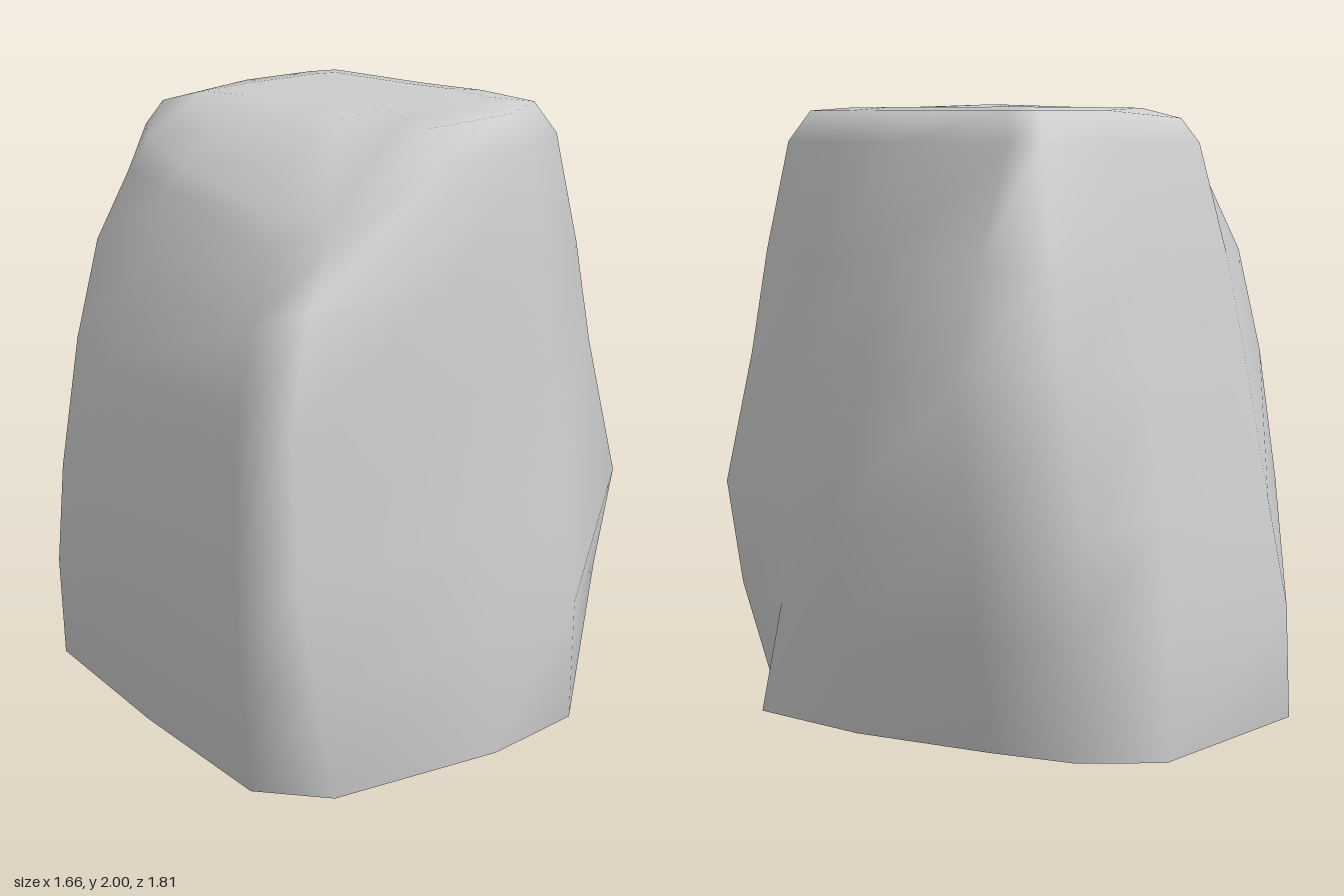
import * as THREE from 'three';

// Horizontal outlines as x, z pairs, running from the front round by +x to the back
const base = [-.03, .9, .33, .88, .61, .59, .82, .35, .73, -.05, .54, -.48, .41, -.73, .2, -.91, -.43, -.86, -.68, -.61, -.75, 0, -.78, .59, -.61, .79];
const low = [-.03, .85, .4, .82, .7, .63, .77, .3, .78, -.05, .62, -.51, .45, -.77, .17, -.88, -.43, -.84, -.71, -.58, -.81, -.15, -.82, .6, -.7, .81];
const belly = [-.03, .8, .4, .77, .73, .67, .77, .25, .83, -.06, .68, -.55, .46, -.8, .13, -.81, -.42, -.76, -.69, -.56, -.83, -.2, -.82, .58, -.73, .76];
const waist = [-.05, .75, .38, .71, .67, .59, .71, .22, .73, -.1, .75, -.56, .45, -.7, .1, -.71, -.4, -.67, -.63, -.53, -.77, -.2, -.77, .53, -.71, .71];
const rim = [-.1, .66, .32, .63, .57, .5, .6, .2, .55, -.06, .51, -.53, .4, -.56, .08, -.55, -.34, -.51, -.47, -.43, -.55, -.1, -.54, .4, -.48, .6];

// The top is flat, but falls away towards -x, most at the front and back corners
const { clamp, lerp } = THREE.MathUtils;
const roof = (x, z) => {
  const back = clamp((0.5 - z) / 0.7, 0, 1);
  const slope = lerp(0.6, 0.5, back) * Math.pow(clamp(-x / 0.7, 0, 1), lerp(1.6, 3.2, back));
  return 2 - slope - 0.75 * Math.max(0, -x - z - 0.75);
};

const scaled = (ring, s, cx, cz) => ring.map((v, i) => {
  const c = i % 2 ? cz : cx;
  return c + (v - c) * s;
});
const blended = (a, b, t) => a.map((v, i) => lerp(v, b[i], t));

function createRockGeometry() {
  const rings = [
    [scaled(base, 0.95, 0, 0), 0],
    [base, 0.01],
    [low, 0.38],
    [belly, 0.73],
    [waist, 1.18],
    [blended(waist, rim, 0.42), 1.52],
    [rim, 1.88],
    [scaled(rim, 0.9, 0.05, -0.05), 1.98],
    [scaled(rim, 0.7, 0.07, -0.03), 1.99],
    [scaled(rim, 0.45, 0.1, 0), 1.99],
  ];
  const n = base.length / 2;
  const positions = [];
  const index = [];

  for (const [ring, y] of rings) {
    for (let i = 0; i < n; i++) {
      const x = ring[2 * i];
      const z = ring[2 * i + 1];
      // Only the upper rings are cut by the roof
      positions.push(x, y > 1.2 ? Math.min(y, roof(x, z)) : y, z);
    }
  }
  // Middle points of underside and top
  const bottom = positions.length / 3;
  const top = bottom + 1;
  positions.push(0, 0, 0, 0.1, 2, 0);

  const last = (rings.length - 1) * n;
  for (let i = 0; i < n; i++) {
    const j = (i + 1) % n;
    index.push(bottom, j, i, top, last + i, last + j);
    for (let r = 0; r < last; r += n) {
      index.push(r + i, r + j, r + n + j, r + i, r + n + j, r + n + i);
    }
  }

  const geometry = new THREE.BufferGeometry();
  geometry.setAttribute('position', new THREE.Float32BufferAttribute(positions, 3));
  geometry.setIndex(index);
  geometry.computeVertexNormals();
  return geometry;
}

export function createModel() {
  const group = new THREE.Group();
  const rock = new THREE.Mesh(createRockGeometry(), new THREE.MeshStandardMaterial({ color: 0xcccccc }));
  rock.name = 'rock';
  group.add(rock);
  return group;
}
